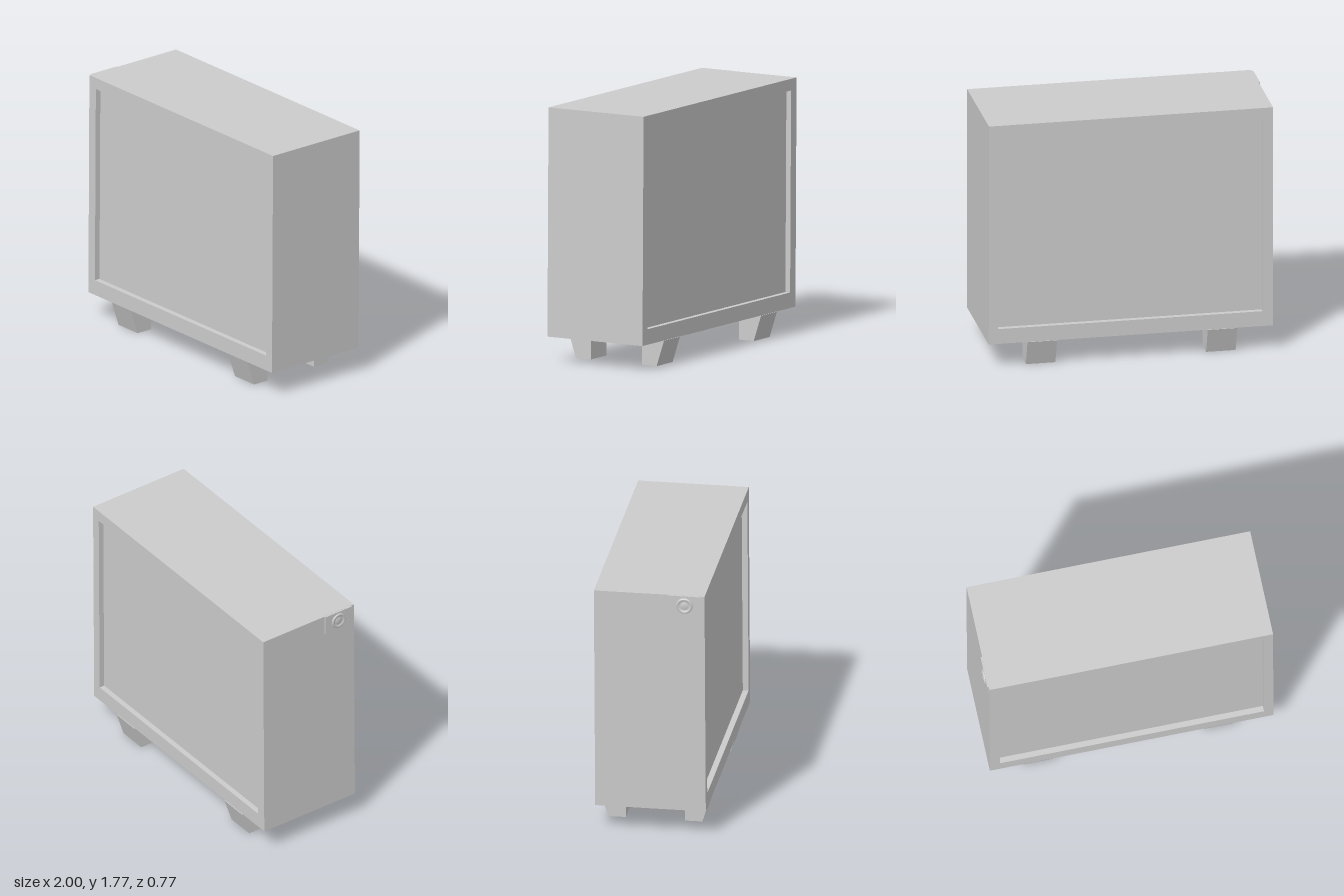
import * as THREE from 'three';

const material = new THREE.MeshStandardMaterial({ color: 0xcccccc, side: THREE.DoubleSide });
const flatMaterial = new THREE.MeshStandardMaterial({ color: 0xcccccc, flatShading: true, side: THREE.DoubleSide });

// Cabinet limits
const LEFT = -0.98, RIGHT = 1.0, BOTTOM = 0.18, TOP = 1.768;
const FRONT = 0.387, BACK = -0.378;

// The cabinet leans back very slightly towards the top
function lean(geometry) {
  const p = geometry.attributes.position;
  for (let i = 0; i < p.count; i++) {
    p.setZ(i, p.getZ(i) - 0.009 * (p.getY(i) - BOTTOM) / (TOP - BOTTOM));
  }
  geometry.computeVertexNormals();
  return geometry;
}

function rectangle(path, x0, y0, x1, y1) {
  path.moveTo(x0, y0);
  path.lineTo(x1, y0);
  path.lineTo(x1, y1);
  path.lineTo(x0, y1);
  path.closePath();
  return path;
}

function part(name, geometry, mat = flatMaterial) {
  const mesh = new THREE.Mesh(geometry, mat);
  mesh.name = name;
  return mesh;
}

export function createModel() {
  const group = new THREE.Group();
  group.name = 'speakerCabinet';

  // Outer shell, open at front and back
  const shell = rectangle(new THREE.Shape(), LEFT, BOTTOM, RIGHT, TOP);
  const opening = [-0.91, 0.288, 0.935, 1.687];
  shell.holes.push(rectangle(new THREE.Path(), ...opening));
  const shellGeometry = new THREE.ExtrudeGeometry(shell, { depth: FRONT - BACK, bevelEnabled: false });
  shellGeometry.translate(0, 0, BACK);
  group.add(part('cabinetShell', lean(shellGeometry)));

  // Recessed panels closing both openings
  const [x0, y0, x1, y1] = opening;
  for (const [name, z] of [['frontPanel', FRONT - 0.04], ['backPanel', BACK + 0.038]]) {
    const panel = new THREE.PlaneGeometry(x1 - x0, y1 - y0);
    if (name === 'backPanel') panel.rotateY(Math.PI);
    panel.translate((x0 + x1) / 2, (y0 + y1) / 2, z);
    group.add(part(name, lean(panel)));
  }

  // Feet: straight inner face, outer face tapering in towards the floor
  const footProfile = new THREE.Shape([
    new THREE.Vector2(0.205, 0), new THREE.Vector2(0.325, 0),
    new THREE.Vector2(0.384, BOTTOM), new THREE.Vector2(0.205, BOTTOM),
  ]);
  for (const [row, turn] of [['front', -Math.PI / 2], ['back', Math.PI / 2]]) {
    for (const side of [-1, 1]) {
      const foot = new THREE.ExtrudeGeometry(footProfile, { depth: 0.206, bevelEnabled: false });
      foot.translate(0, 0, -0.103);
      foot.rotateY(turn);
      foot.translate(side * 0.628, 0, 0);
      group.add(part(row + (side > 0 ? 'Left' : 'Right') + 'Foot', foot));
    }
  }

  // Socket plate high on the right side
  const plate = new THREE.BoxGeometry(0.012, 0.14, 0.225);
  plate.translate(LEFT - 0.005, 1.697, 0.243);
  group.add(part('socketPlate', plate));

  // Round socket: raised rim around a recessed centre pin
  const rimProfile = [
    [0.057, 0], [0.053, 0.009], [0.042, 0.009], [0.037, 0.002],
    [0.024, 0.002], [0.022, 0.007], [0, 0.007],
  ].map(([r, h]) => new THREE.Vector2(r, h));
  const socket = new THREE.LatheGeometry(rimProfile, 32);
  socket.rotateZ(Math.PI / 2);
  socket.translate(LEFT - 0.011, 1.697, 0.24);
  group.add(part('socket', socket, material));

  return group;
}
